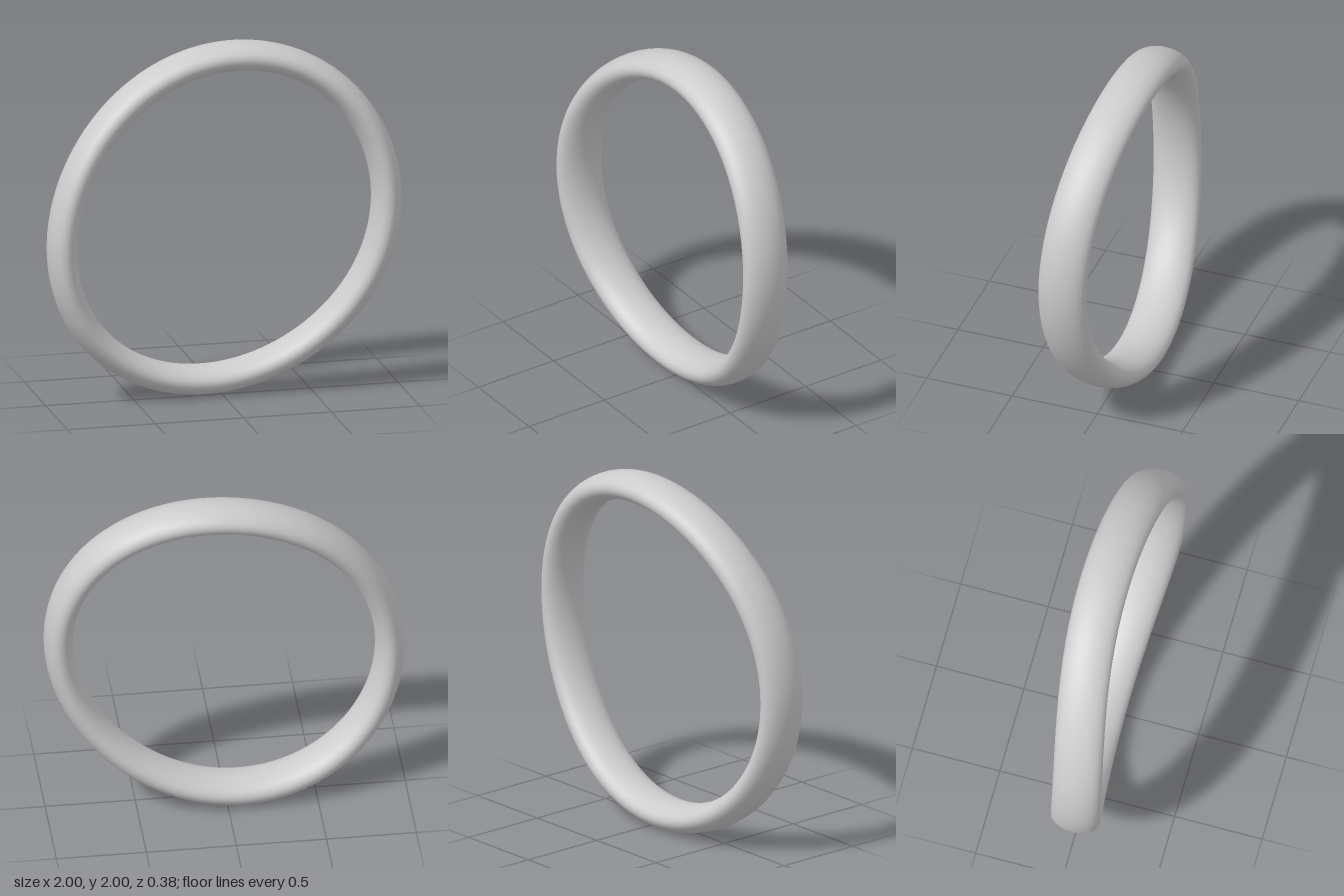
import * as THREE from 'three';

const A = 0.965, B = 0.873;        // half-axes of the centre line
const RADIAL = 0.08, DEPTH = 0.138; // half-thickness of the oval section
const WAVE = 0.051;                // height of the saddle bend

// Bends a unit-style torus into an oval, saddle-shaped band.
function bandGeometry() {
  const geo = new THREE.TorusGeometry(2, 1, 40, 200);
  const pos = geo.attributes.position;
  const cosT = Math.SQRT1_2, sinT = Math.SQRT1_2;
  for (let i = 0; i < pos.count; i++) {
    const px = pos.getX(i), py = pos.getY(i), pz = pos.getZ(i);
    const t = Math.atan2(py, px) - Math.PI / 4;
    const out = (Math.hypot(px, py) - 2) * RADIAL;
    // centre line and its outward normal, along the long diagonal
    const n = new THREE.Vector2(Math.cos(t) / A, Math.sin(t) / B).normalize();
    const cx = A * Math.cos(t), cy = B * Math.sin(t);
    const u = cx + n.x * out, v = cy + n.y * out;
    // saddle: sides forward, top and bottom back
    const dir = Math.atan2(cy, cx) + Math.PI / 4;
    pos.setXYZ(i, u * cosT - v * sinT, u * sinT + v * cosT + 1,
      pz * DEPTH + WAVE * Math.cos(2 * dir));
  }
  geo.computeVertexNormals();

  // match normals across the two closing seams
  const nor = geo.attributes.normal, seen = new Map();
  for (let i = 0; i < pos.count; i++) {
    const key = [pos.getX(i), pos.getY(i), pos.getZ(i)].map(c => Math.round(c * 1e5)).join();
    const normal = new THREE.Vector3().fromBufferAttribute(nor, i);
    if (!seen.has(key)) seen.set(key, { sum: new THREE.Vector3(), ids: [] });
    const entry = seen.get(key);
    entry.sum.add(normal);
    entry.ids.push(i);
  }
  for (const { sum, ids } of seen.values()) {
    sum.normalize();
    ids.forEach(i => nor.setXYZ(i, sum.x, sum.y, sum.z));
  }
  return geo;
}

export function createModel() {
  const group = new THREE.Group();
  group.name = 'ring';
  const band = new THREE.Mesh(bandGeometry(),
    new THREE.MeshStandardMaterial({ color: 0xcccccc }));
  band.name = 'band';
  group.add(band);
  return group;
}
